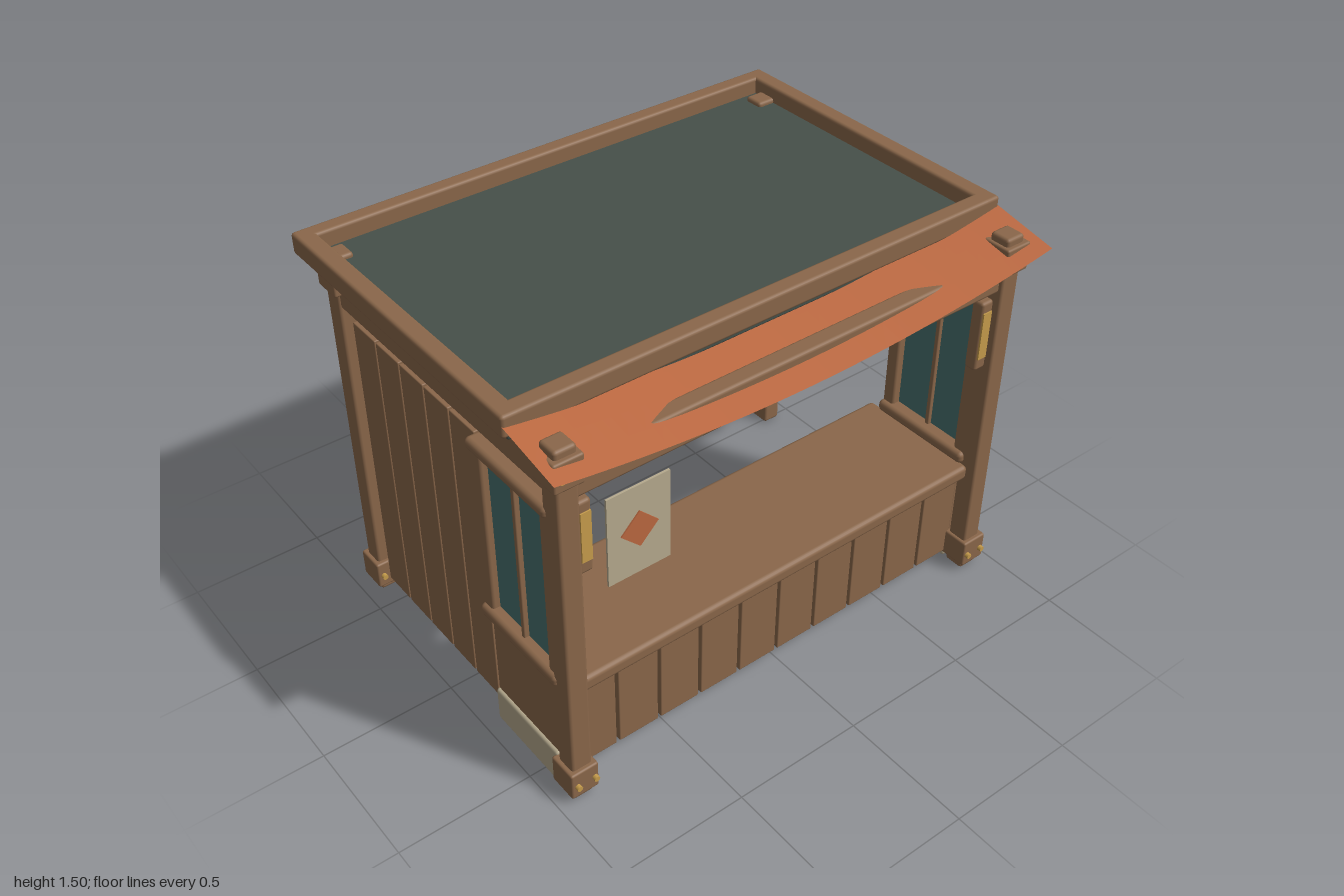
import * as THREE from 'three';
import { RoundedBoxGeometry } from 'three/addons/geometries/RoundedBoxGeometry.js';

const mat = (name, color, extra = {}) => {
  const m = new THREE.MeshStandardMaterial({ color, ...extra });
  m.name = name;
  return m;
};

export function createModel() {
  const root = new THREE.Group();
  root.name = 'marketStall';

  const wood = mat('wood', 0x8a674a);
  const slate = mat('slate', 0x465049);
  const cloth = mat('orangeCloth', 0xbb6840, { side: THREE.DoubleSide });
  const stone = mat('paleStone', 0xb6aa8e);
  const glass = mat('tealGlass', 0x47716f);
  const gold = mat('gold', 0xc79d4c);
  const charcoal = mat('charcoal', 0x414d4d);

  // Box given by its min and max on each axis, with softened edges
  const box = (name, m, x0, x1, y0, y1, z0, z1, r = 0.012) => {
    const w = x1 - x0, h = y1 - y0, d = z1 - z0;
    const rad = Math.min(r, Math.min(w, h, d) * 0.45);
    const geo = r > 0 ? new RoundedBoxGeometry(w, h, d, 2, rad) : new THREE.BoxGeometry(w, h, d);
    const mesh = new THREE.Mesh(geo, m);
    mesh.name = name;
    mesh.position.set((x0 + x1) / 2, (y0 + y1) / 2, (z0 + z1) / 2);
    root.add(mesh);
    return mesh;
  };
  // Same, mirrored to side s (+1 or -1) on x
  const sideBox = (s, name, m, x0, x1, ...rest) =>
    s > 0 ? box(name, m, x0, x1, ...rest) : box(name, m, -x1, -x0, ...rest);

  // Corner posts with brackets and bolts
  const boltGeo = new THREE.CylinderGeometry(0.011, 0.011, 0.02, 8).rotateX(Math.PI / 2);
  for (const s of [1, -1]) {
    for (const z of [0.633, -0.625]) {
      sideBox(s, 'cornerPost', wood, 0.862, 0.942, 0, 1.46, z - 0.04, z + 0.04);
      for (const [y0, y1] of [[0.03, 0.14], [1.325, 1.432]]) {
        sideBox(s, 'postBracket', wood, 0.85, 0.958, y0, y1, z - 0.057, z + 0.057, 0.008);
        for (const x of [0.867, 0.935]) {
          const bolt = new THREE.Mesh(boltGeo, gold);
          bolt.name = 'bolt';
          bolt.position.set(s * x, y0 + 0.052, z + 0.062);
          root.add(bolt);
        }
      }
    }
    // Side beam under the roof
    sideBox(s, 'sideBeam', wood, 0.865, 0.935, 1.27, 1.385, -0.59, 0.6);

    // Side bay: panel, stone foot and window
    sideBox(s, 'lowerPanel', wood, 0.86, 0.93, 0.1, 0.485, 0.218, 0.588);
    sideBox(s, 'panelFoot', stone, 0.855, 0.942, 0.005, 0.15, 0.22, 0.586);
    sideBox(s, 'windowSill', wood, 0.84, 0.952, 0.483, 0.53, 0.183, 0.615, 0.018);
    sideBox(s, 'windowHead', wood, 0.84, 0.952, 1.178, 1.222, 0.183, 0.615, 0.018);
    sideBox(s, 'windowStile', wood, 0.862, 0.935, 0.51, 1.2, 0.187, 0.24);
    sideBox(s, 'windowFrontStile', wood, 0.862, 0.935, 0.51, 1.2, 0.558, 0.61);
    sideBox(s, 'windowMullion', wood, 0.88, 0.925, 0.52, 1.19, 0.392, 0.41, 0.005);
    sideBox(s, 'windowGlass', glass, 0.896, 0.906, 0.52, 1.19, 0.23, 0.57, 0);

    // Counter end and its leg
    sideBox(s, 'counterEnd', wood, 0.79, 0.83, 0.04, 0.44, 0.2, 0.56, 0.005);
    sideBox(s, 'counterLeg', wood, 0.78, 0.838, 0, 0.44, 0.185, 0.245);

    // Lantern on the inner face of the front post
    sideBox(s, 'lanternBody', wood, 0.808, 0.862, 0.94, 1.22, 0.6, 0.65);
    sideBox(s, 'lanternLight', gold, 0.814, 0.852, 0.99, 1.18, 0.646, 0.655, 0);
  }

  // Door jamb beside the side opening
  box('doorJamb', wood, 0.865, 0.94, 0, 1.275, -0.6, -0.48);

  // Front and back lintels
  box('frontLintel', wood, -0.87, 0.87, 1.25, 1.385, 0.592, 0.66);
  box('lintelTrim', wood, -0.87, 0.87, 1.225, 1.256, 0.572, 0.62);
  box('backLintel', wood, -0.87, 0.87, 1.27, 1.385, -0.625, -0.575);

  // Back wall planks on a stone footing
  for (let i = 0; i < 12; i++) {
    const x = -0.9 + i * 0.15;
    box('backPlank', wood, Math.max(x + 0.004, -0.87), Math.min(x + 0.146, 0.87), 0.1, 1.395, -0.645, -0.61, 0.004);
  }
  box('backFooting', stone, -0.862, 0.862, 0.005, 0.145, -0.662, -0.59);

  // Closed side wall planks
  for (let i = 0; i < 5; i++) {
    const z = 0.2 - i * 0.15;
    box('sidePlank', wood, -0.92, -0.88, 0.08, 1.23, z - 0.146, z - 0.004, 0.004);
  }

  // Counter with plank front
  box('counterTop', wood, -0.865, 0.865, 0.425, 0.485, 0.13, 0.64, 0.018);
  for (let i = 0; i < 10; i++) {
    const x = -0.873 + i * 0.1746;
    box('counterPlank', wood, x + 0.006, x + 0.1686, 0.04, 0.435, 0.555, 0.59, 0.005);
  }

  // Shelves with rounded front rails
  for (const y of [0.28, 0.577, 0.888, 1.183]) {
    box('shelf', wood, -0.81, 0.81, y - 0.014, y + 0.014, -0.61, -0.4, 0.004);
    box('shelfRail', wood, -0.815, 0.815, y - 0.019, y + 0.019, -0.42, -0.363, 0.017);
  }
  for (const x of [-0.8, 0, 0.8]) {
    box('shelfUpright', wood, x - 0.018, x + 0.018, 0.23, 1.205, x ? -0.61 : -0.6, x ? -0.42 : -0.56, 0.004);
  }

  // Goods in alternating colours
  const goods = [stone, wood, charcoal];
  [0.298, 0.597, 0.908].forEach((y, row) => {
    for (let col = 0; col < 7; col++) {
      const x = -0.67 + col * 0.2155;
      const m = goods[(col + [2, 0, 1][row]) % 3];
      const h = 0.12 + 0.01 * ((col * 2 + row) % 3);
      box('goodsBox', m, x - 0.065, x + 0.065, y, y + h, -0.54, -0.41, 0.006);
      box('goodsLabel', stone, x - 0.028, x + 0.028, y + 0.045, y + 0.085, -0.412, -0.406, 0);
    }
  });

  // Roof slab inside a raised frame
  box('roofSlab', slate, -0.965, 0.965, 1.392, 1.443, -0.72, 0.475, 0.008);
  for (const s of [1, -1]) sideBox(s, 'roofFrameSide', wood, 0.93, 0.998, 1.425, 1.505, -0.752, 0.502);
  box('roofFrameBack', wood, -0.998, 0.998, 1.425, 1.505, -0.752, -0.69);
  box('roofFrameFront', wood, -0.998, 0.998, 1.425, 1.505, 0.435, 0.502);

  // Sagging cloth awning
  const awningGeo = new THREE.PlaneGeometry(1.99, 0.34, 32, 4).rotateX(-Math.PI / 2);
  const p = awningGeo.attributes.position;
  for (let i = 0; i < p.count; i++) {
    const x = p.getX(i), z = p.getZ(i) + 0.58;
    p.setXYZ(i, x, 1.42 - 0.085 * (1 - x * x) + 0.2 * (0.75 - z), z);
  }
  awningGeo.computeVertexNormals();
  const awning = new THREE.Mesh(awningGeo, cloth);
  awning.name = 'awning';
  root.add(awning);

  // Hanging notice with a diamond
  box('notice', stone, -0.772, -0.538, 0.86, 1.2, 0.662, 0.67, 0);
  const diamond = box('noticeDiamond', cloth, -0.704, -0.606, 0.986, 1.084, 0.669, 0.675, 0);
  diamond.position.y = 1.035;
  diamond.rotation.z = Math.PI / 4;

  return root;
}
